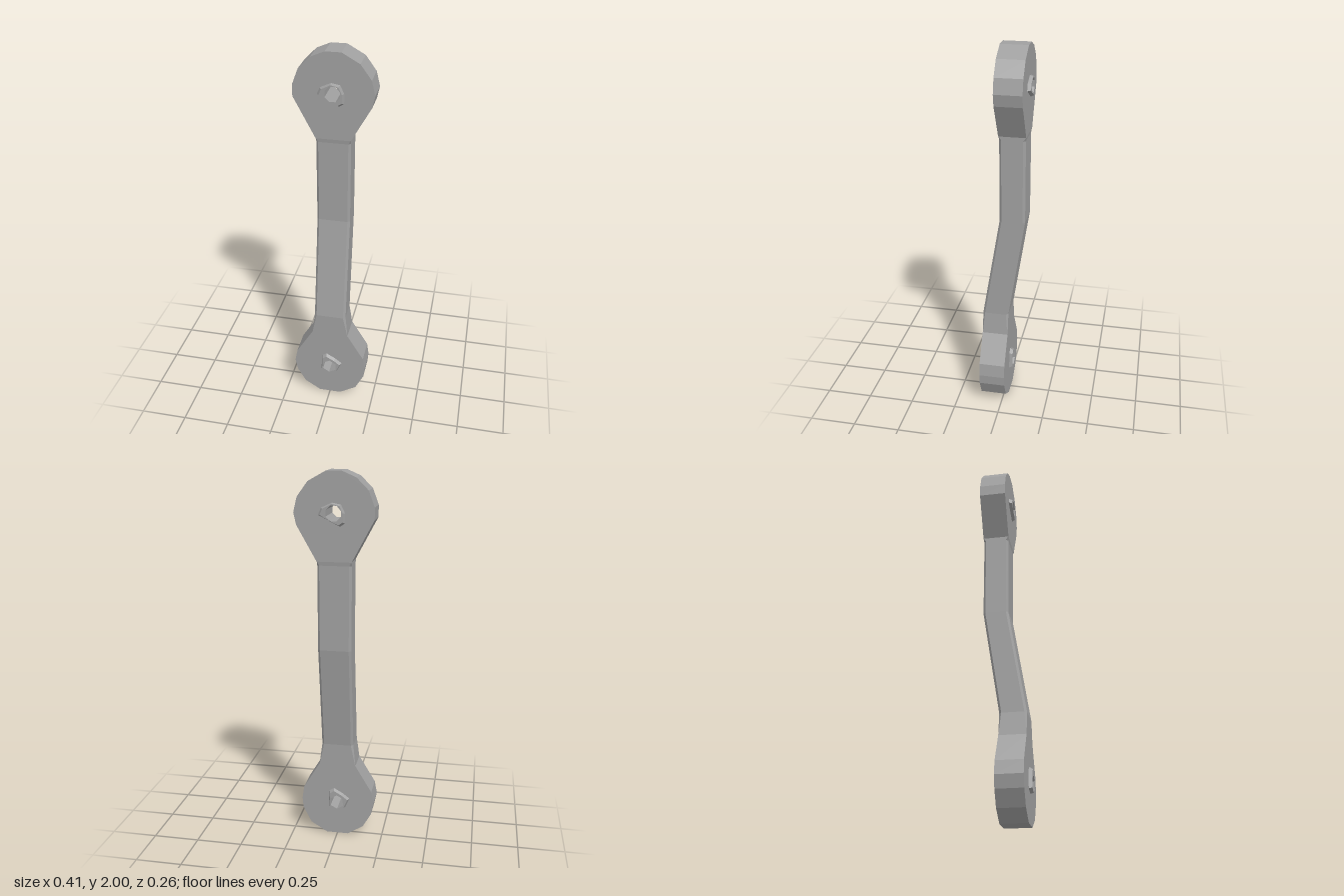
import * as THREE from 'three';

const steel = new THREE.MeshStandardMaterial({ color: 0xa0a0a0, flatShading: true });
steel.name = 'grey steel';

const HALF = 0.07; // half thickness of the heads

// polygon outline with a small round-ish bolt hole at (0, cy)
function holedShape(points, cy, sides, turn) {
  const shape = new THREE.Shape(points.map(([x, y]) => new THREE.Vector2(x, y)));
  const hole = [];
  for (let i = 0; i < sides; i++) {
    const a = turn - (i / sides) * Math.PI * 2;
    hole.push(new THREE.Vector2(0.041 * Math.cos(a), cy + 0.041 * Math.sin(a)));
  }
  shape.holes.push(new THREE.Path(hole));
  return shape;
}

function part(name, geometry) {
  const mesh = new THREE.Mesh(geometry, steel);
  mesh.name = name;
  return mesh;
}

function head(name, outline, cy, z, sides, turn) {
  const g = new THREE.ExtrudeGeometry(holedShape(outline, cy, sides, turn),
    { depth: 2 * HALF, bevelEnabled: false });
  g.translate(0, 0, z - HALF);
  return part(name, g);
}

// thin uneven collar around a hole, narrowing towards its outer face
function collar(name, outline, cy, z, side, sides, turn) {
  const g = new THREE.ExtrudeGeometry(holedShape(outline, 0, sides, turn),
    { depth: 0.018, bevelEnabled: false });
  const p = g.attributes.position;
  for (let i = 0; i < p.count; i++) {
    const r = Math.hypot(p.getX(i), p.getY(i));
    if (r > 0.045 && p.getZ(i) > 0.01) {
      const s = Math.max(0.046 / r, 0.85);
      p.setXY(i, p.getX(i) * s, p.getY(i) * s);
    }
  }
  g.computeVertexNormals();
  if (side < 0) g.rotateY(Math.PI);
  g.translate(0, cy, z + side * (HALF - 0.001));
  return part(name, g);
}

// chamfered bar lofted through sections of [y, z, half width, half depth, chamfer]
function bar(sections) {
  const pos = [], index = [];
  for (const [y, z, w, d, c] of sections) {
    const ring = [[w - c, d], [w, d - c], [w, c - d], [w - c, -d],
      [c - w, -d], [-w, c - d], [-w, d - c], [c - w, d]];
    for (const [x, dz] of ring) pos.push(x, y, z + dz);
  }
  for (let s = 0; s < sections.length - 1; s++) {
    for (let i = 0; i < 8; i++) {
      const a = s * 8 + i, b = s * 8 + (i + 1) % 8;
      index.push(a, b, b + 8, a, b + 8, a + 8);
    }
  }
  const g = new THREE.BufferGeometry();
  g.setAttribute('position', new THREE.Float32BufferAttribute(pos, 3));
  g.setIndex(index);
  g.computeVertexNormals();
  return part('shaft', g);
}

export function createModel() {
  const group = new THREE.Group();
  group.name = 'connecting link';

  // heads at both ends, offset from each other in depth
  const lower = [[-0.06, 0], [0.06, 0], [0.15, 0.055], [0.195, 0.145], [0.2, 0.2], [0.19, 0.27],
    [0.1, 0.42], [-0.1, 0.42], [-0.19, 0.27], [-0.203, 0.2], [-0.19, 0.135], [-0.145, 0.055]];
  const upper = [[0.088, 1.56], [0.19, 1.74], [0.203, 1.8], [0.185, 1.875], [0.13, 1.95], [0.04, 2],
    [-0.04, 2], [-0.11, 1.97], [-0.17, 1.91], [-0.2, 1.83], [-0.2, 1.77], [-0.088, 1.56]];
  group.add(head('lowerHead', lower, 0.2, 0.045, 6, 0.5));
  group.add(head('upperHead', upper, 1.8, -0.045, 8, 0.4));

  // shaft with the offset bend
  group.add(bar([
    [0.42, 0.045, 0.1, 0.07, 0.001],
    [0.54, 0.045, 0.086, 0.07, 0.012],
    [1.1, -0.045, 0.087, 0.067, 0.012],
    [1.54, -0.045, 0.088, 0.067, 0.012],
    [1.56, -0.045, 0.088, 0.07, 0.002],
  ]));

  // collars on both faces of each head
  const lowRing = [[-0.05, -0.035], [0, -0.05], [0.045, -0.035], [0.068, 0.02], [0.03, 0.05],
    [-0.02, 0.078], [-0.045, 0.06]];
  const topRing = [[-0.08, -0.01], [0.03, -0.066], [0.055, -0.05], [0.055, 0], [0.035, 0.042],
    [-0.01, 0.05], [-0.065, 0.025]];
  group.add(collar('lowerCollarFront', lowRing, 0.2, 0.045, 1, 6, 0.5));
  group.add(collar('lowerCollarBack', lowRing, 0.2, 0.045, -1, 6, Math.PI - 0.5));
  group.add(collar('upperCollarFront', topRing, 1.8, -0.045, 1, 8, 0.4));
  group.add(collar('upperCollarBack', topRing, 1.8, -0.045, -1, 8, Math.PI - 0.4));
  return group;
}
